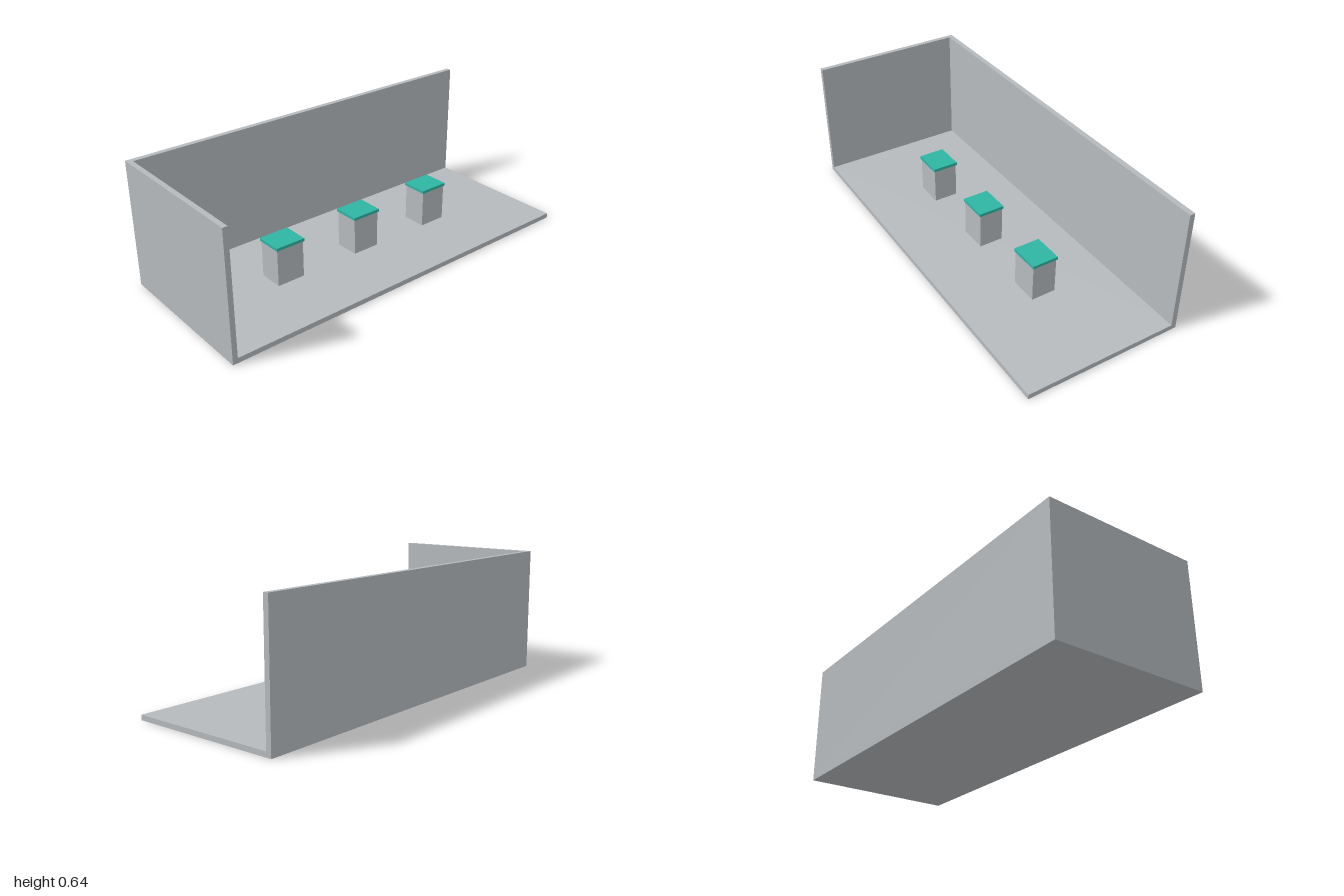
import * as THREE from 'three';

export function createModel() {
  const model = new THREE.Group();
  const grey = new THREE.MeshStandardMaterial({ color: 0xb6babd });
  grey.name = 'pale grey';
  const teal = new THREE.MeshStandardMaterial({ color: 0x2eb5a4 });
  teal.name = 'teal';

  // Axis-aligned block given by its minimum and maximum corners
  function block(name, min, max, material, parent = model) {
    const size = max.map((v, i) => v - min[i]);
    const mesh = new THREE.Mesh(new THREE.BoxGeometry(...size), material);
    mesh.position.set(...min.map((v, i) => v + size[i] / 2));
    mesh.name = name;
    parent.add(mesh);
  }

  const floorTop = 0.025;
  const wallTop = 0.64;

  // Room shell: floor, back wall and one side wall
  block('floor', [-1, 0, -0.4], [1, floorTop, 0.4], grey);
  block('backWall', [-1, floorTop, -0.4], [1, wallTop, -0.373], grey);
  block('sideWall', [-1, floorTop, -0.373], [-0.975, wallTop, 0.4], grey);

  // Row of three plinths with overhanging caps
  for (const x of [-0.46, 0, 0.46]) {
    const plinth = new THREE.Group();
    plinth.name = 'plinth';
    plinth.position.x = x;
    block('plinthBody', [-0.073, floorTop, -0.063], [0.073, 0.213, 0.063], grey, plinth);
    block('plinthCap', [-0.078, 0.213, -0.068], [0.078, 0.228, 0.068], teal, plinth);
    model.add(plinth);
  }

  return model;
}
